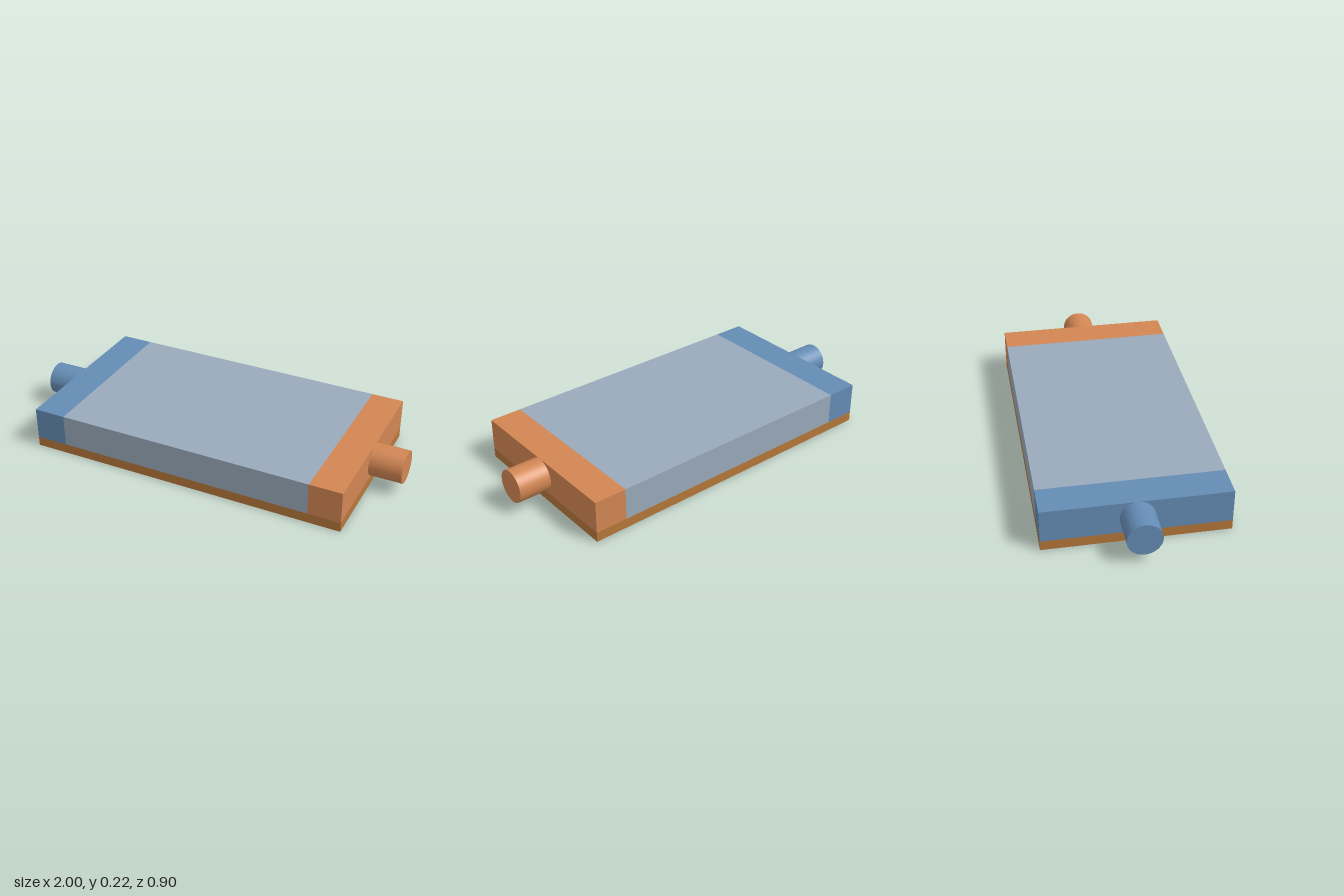
import * as THREE from 'three';

const DEPTH = 0.9;      // size along z
const BASE_H = 0.05;    // base plate thickness
const BODY_H = 0.1667;  // height of core and end headers
const MID_Y = BASE_H + BODY_H / 2;

export function createModel() {
  const model = new THREE.Group();
  const paint = (color) => new THREE.MeshStandardMaterial({ color });

  function add(parent, name, geometry, material, x, y) {
    const mesh = new THREE.Mesh(geometry, material);
    mesh.name = name;
    mesh.position.set(x, y, 0);
    parent.add(mesh);
    return mesh;
  }

  // Base plate and the core block resting on it
  add(model, 'basePlate', new THREE.BoxGeometry(1.6667, BASE_H, DEPTH), paint(0xb5773a), 0, BASE_H / 2);
  add(model, 'core', new THREE.BoxGeometry(1.3333, BODY_H, DEPTH), paint(0x99aabb), 0, MID_Y);

  // A header block with a round pipe stub at each end
  for (const [name, side, color] of [['inlet', -1, 0x658cb5], ['outlet', 1, 0xd28653]]) {
    const end = new THREE.Group();
    end.name = name;
    const material = paint(color);
    add(end, name + 'Header', new THREE.BoxGeometry(0.1667, BODY_H, DEPTH), material, side * 0.75, MID_Y);
    const pipe = new THREE.CylinderGeometry(BODY_H / 2, BODY_H / 2, 0.1667, 48).rotateZ(-side * Math.PI / 2);
    add(end, name + 'Pipe', pipe, material, side * 0.9167, MID_Y);
    model.add(end);
  }
  return model;
}
